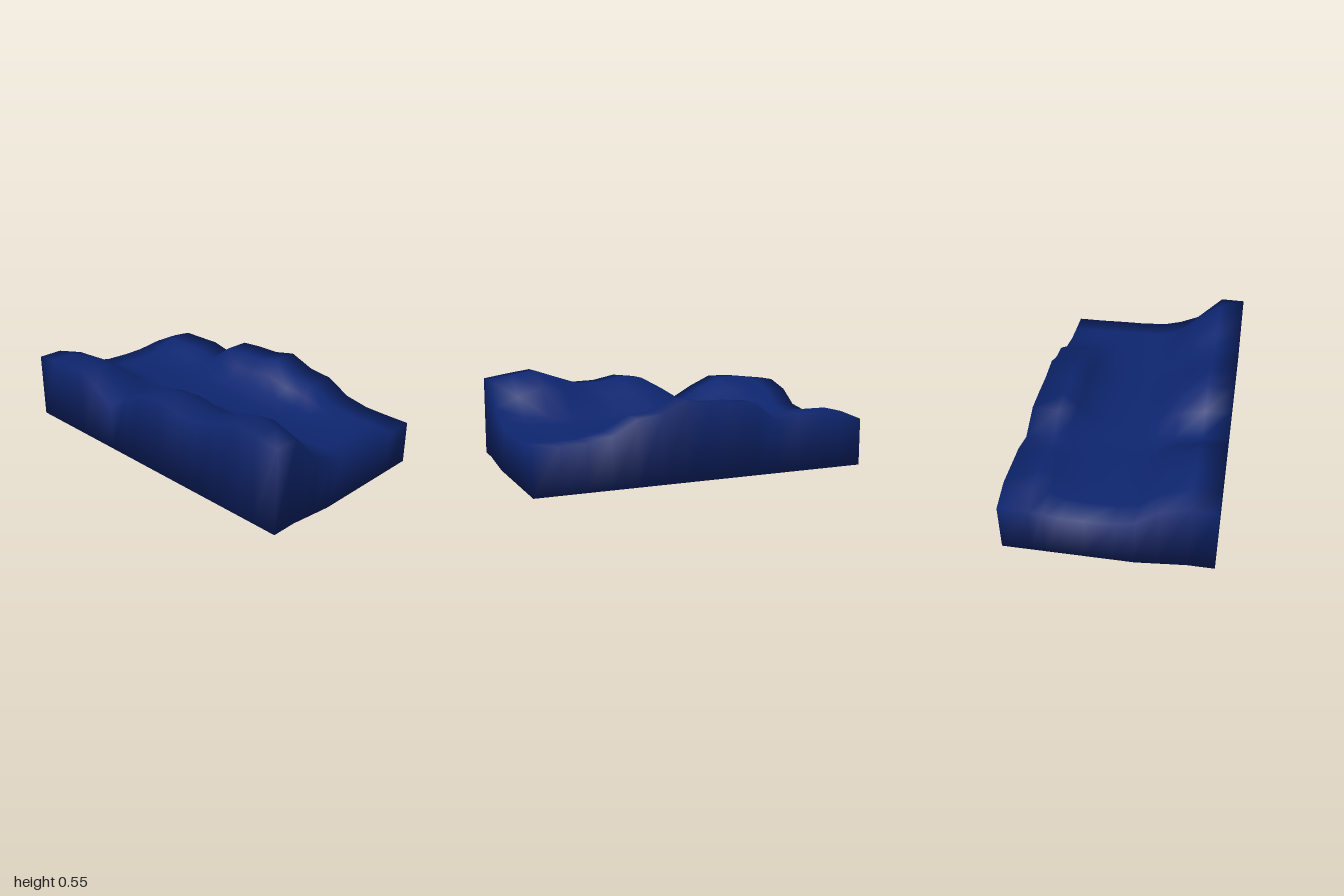
import * as THREE from 'three';

// Columns across the block, and how much of each side ridge reaches them
const xs = [-0.577, -0.43, -0.27, -0.15, -0.04, 0.12, 0.24, 0.33, 0.41, 0.577];
const leftShare = [1, 1.01, 0.7, 0.16, 0.04, 0, 0, 0, 0, 0];
const rightShare = [0, 0, 0, 0, 0, 0.04, 0.16, 0.58, 1, 1];

// Ridge crest heights, from the back row to the front row
const lowX = [0.425, 0.44, 0.455, 0.455, 0.39, 0.31, 0.4, 0.475, 0.49, 0.46, 0.455, 0.5, 0.547, 0.525, 0.5];
const highX = [0.28, 0.335, 0.335, 0.335, 0.3, 0.41, 0.42, 0.42, 0.45, 0.385, 0.365, 0.285, 0.257, 0.252, 0.25];
const rows = lowX.length, cols = xs.length;
const valley = 0.255;

function height(i, j) {
  // The inner slope of the tall ridge is steeper at the front end
  let share = leftShare[i];
  if (i === 2) share = j === rows - 1 ? 0.37 : j === rows - 2 ? 0.58 : share;
  return valley + (lowX[j] - valley) * share + (highX[j] - valley) * rightShare[i];
}

// The underside lifts slightly beneath the tall ridge
const underside = x => 0.03 * THREE.MathUtils.clamp((-0.15 - x) / 0.28, 0, 1);

function terrainGeometry() {
  const pos = [], index = [];
  const id = (i, j) => j * cols + i;

  // Top surface
  for (let j = 0; j < rows; j++) {
    const z = -1 + (2 * j) / (rows - 1);
    for (let i = 0; i < cols; i++) {
      const y = height(i, j);
      const inset = i === cols - 1 ? Math.max(0, y - 0.36) * 0.17 : 0;
      pos.push(xs[i] - inset, y, z);
      if (i < cols - 1 && j < rows - 1) {
        const a = id(i, j), b = id(i + 1, j), c = id(i, j + 1), d = id(i + 1, j + 1);
        index.push(a, c, b, b, c, d);
      }
    }
  }

  // Outline: front, +x side, back, -x side
  const rim = [];
  for (let i = 0; i < cols - 1; i++) rim.push([i, rows - 1]);
  for (let j = rows - 1; j > 0; j--) rim.push([cols - 1, j]);
  for (let i = cols - 1; i > 0; i--) rim.push([i, 0]);
  for (let j = 0; j < rows - 1; j++) rim.push([0, j]);

  // Walls and underside, sharing corners so the shading rolls around the edges
  const base = pos.length / 3, n = rim.length, centre = base + n;
  for (const [i, j] of rim) pos.push(xs[i], underside(xs[i]), -1 + (2 * j) / (rows - 1));
  pos.push(0, 0, 0);
  rim.forEach(([i, j], k) => {
    const next = (k + 1) % n;
    const p = id(i, j), q = id(...rim[next]), P = base + k, Q = base + next;
    index.push(P, Q, q, P, q, p, centre, Q, P);
  });

  const geometry = new THREE.BufferGeometry();
  geometry.setAttribute('position', new THREE.Float32BufferAttribute(pos, 3));
  geometry.setIndex(index);
  geometry.computeVertexNormals();
  return geometry;
}

export function createModel() {
  const group = new THREE.Group();
  group.name = 'terrainBlock';
  const navy = new THREE.MeshStandardMaterial({ color: 0x0e2670 });
  navy.name = 'navy';
  const terrain = new THREE.Mesh(terrainGeometry(), navy);
  terrain.name = 'valleyTerrain';
  group.add(terrain);
  return group;
}
